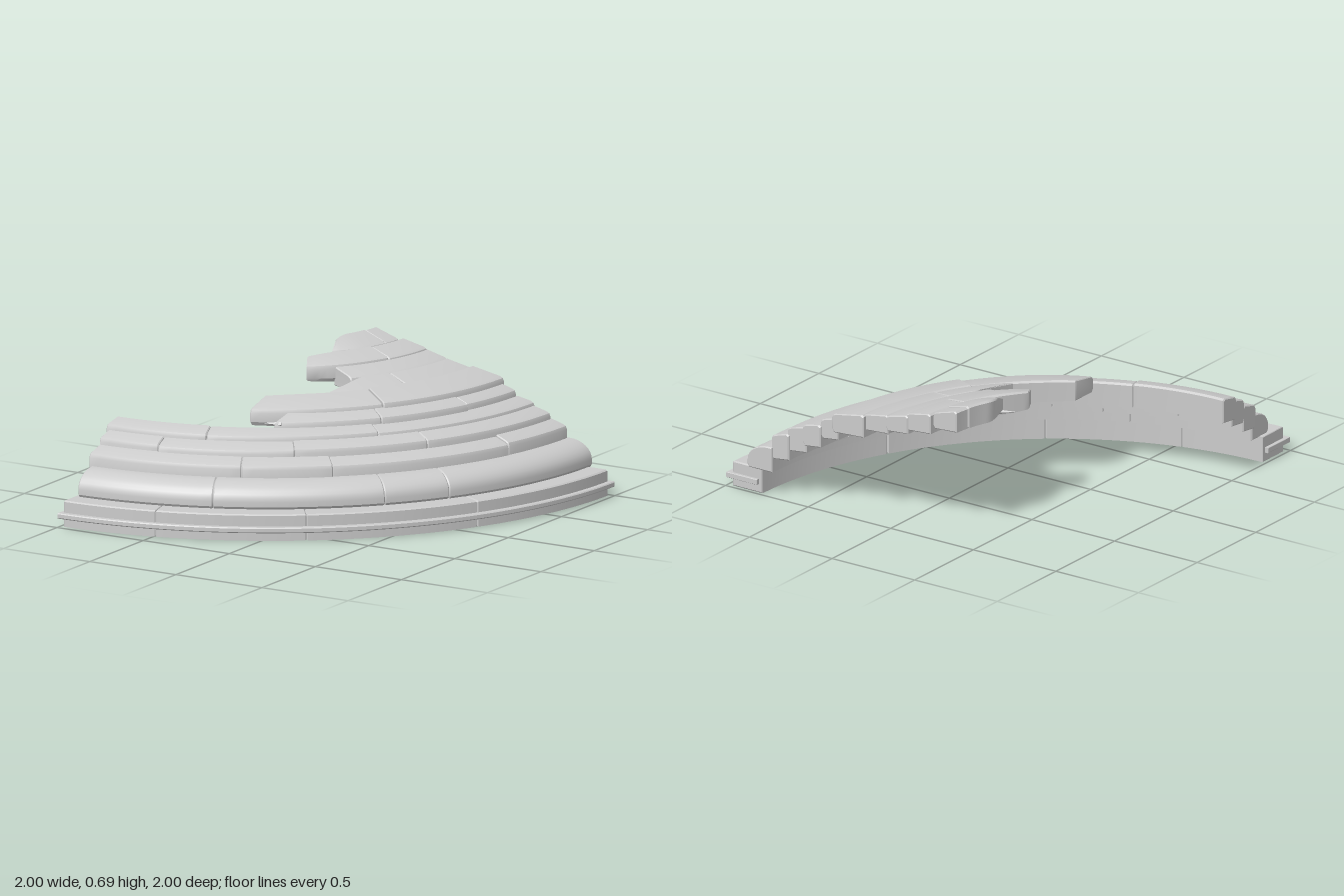
import * as THREE from 'three';
import { toCreasedNormals } from 'three/addons/utils/BufferGeometryUtils.js';

const stone = new THREE.MeshStandardMaterial({ color: 0xcccccc, side: THREE.DoubleSide });
const rad = THREE.MathUtils.degToRad;

let seed = 7;
function jitter(amount) {
  seed = (seed * 16807) % 2147483647;
  return (seed / 2147483647 - 0.5) * 2 * amount;
}

// Sweep a [radius, height] profile round the dome axis at (-1, -1), with chamfered ends.
// skew tilts a broken end; taper narrows it.
function arcBlock(name, profile, fromDeg, toDeg, { skew = 0, taper = 0, chamfer = 0.006 } = {}) {
  const steps = Math.max(4, Math.ceil((toDeg - fromDeg) / 2) + 2);
  const geo = new THREE.ExtrudeGeometry(
    new THREE.Shape(profile.map(([r, y]) => new THREE.Vector2(r, y))),
    { depth: 1, steps, bevelEnabled: false });
  const rs = profile.map(p => p[0]), ys = profile.map(p => p[1]);
  const r0 = Math.min(...rs), r1 = Math.max(...rs), rm = (r0 + r1) / 2;
  const y0 = Math.min(...ys), y1 = Math.max(...ys), ym = (y0 + y1) / 2;
  const a0 = rad(fromDeg), a1 = rad(toDeg), lip = chamfer / rm;
  const pos = geo.attributes.position;
  for (let i = 0; i < pos.count; i++) {
    const k = Math.round(pos.getZ(i) * steps);
    let r = pos.getX(i), y = pos.getY(i), t;
    if (k === 0) t = 0;
    else if (k === steps) t = 1;
    else t = THREE.MathUtils.lerp(lip / (a1 - a0), 1 - lip / (a1 - a0), (k - 1) / (steps - 2));
    if (k === 0 || k === steps) {
      r = rm + (r - rm) * (1 - 2 * chamfer / (r1 - r0));
      y = ym + (y - ym) * (1 - 2 * chamfer / (y1 - y0));
    }
    const worn = Math.max(0, t - 0.5) * 2;
    const a = a0 + (a1 - a0) * t + skew * (r - rm) * worn;
    r = rm + (r - rm) * (1 - taper * worn * worn);
    y = ym + (y - ym) * (1 - 0.4 * taper * worn * worn);
    pos.setXYZ(i, Math.cos(a) * r - 1, y, Math.sin(a) * r - 1);
  }
  geo.deleteAttribute('normal');
  geo.deleteAttribute('uv');
  const mesh = new THREE.Mesh(toCreasedNormals(geo, rad(28)), stone);
  mesh.name = name;
  return mesh;
}

// A run of blocks between successive joint angles; only the last takes the broken-end options.
function course(name, joints, makeProfile, end = {}) {
  const group = new THREE.Group();
  group.name = name;
  for (let i = 0; i < joints.length - 1; i++) {
    const last = i === joints.length - 2;
    group.add(arcBlock(name + 'Block' + (i + 1), makeProfile(), joints[i], joints[i + 1], last ? end : {}));
  }
  return group;
}

// Sloping block with a rounded outer top edge
function stepProfile(ro, ri, yb, yo, yi) {
  const r = ro + jitter(0.007), dy = jitter(0.006);
  return [
    [ri - 0.004, yb + 0.012], [r - 0.012, yb], [r, yb + 0.02], [r, yo - 0.025 + dy],
    [r - 0.007, yo - 0.008 + dy], [r - 0.022, yo + dy], [ri + 0.008, yi + dy], [ri - 0.004, yi - 0.008 + dy],
  ];
}

export function createModel() {
  const model = new THREE.Group();
  model.name = 'brokenDomeQuarter';

  // Base ring with its projecting band
  model.add(course('baseRing', [0.5, 27, 53, 75, 89.4], () => [
    [1.79, 0], [1.97, 0], [1.97, 0.127], [1.962, 0.133], [1.79, 0.133],
  ], { chamfer: 0.003 }));
  model.add(arcBlock('baseBand', [[1.81, 0.045], [1.995, 0.045], [2, 0.05], [2, 0.068], [1.995, 0.073], [1.81, 0.073]],
    0, 90, { chamfer: 0.002 }));

  // Rounded moulding course
  model.add(course('roundedCourse', [0, 30, 40.6, 67, 88.8], () => {
    const profile = [[1.72, 0.13], [1.86, 0.13], [1.87, 0.145]];
    for (let i = 0; i <= 8; i++) {
      const a = (i / 8) * Math.PI / 2;
      profile.push([1.74 + 0.13 * Math.cos(a), 0.17 + 0.092 * Math.sin(a)]);
    }
    profile.push([1.72, 0.262]);
    return profile;
  }));

  // Stepped courses: outer radius, inner radius, bottom, outer top, inner top, joint angles, broken end
  const steps = [
    [1.74, 1.63, 0.20, 0.325, 0.345, [0.4, 15.5, 48, 63, 89.3]],
    [1.64, 1.53, 0.26, 0.385, 0.405, [0.8, 30, 54, 78, 89.3]],
    [1.545, 1.44, 0.31, 0.43, 0.445, [0.6, 38, 70, 89.8]],
    [1.45, 1.34, 0.37, 0.475, 0.495, [1, 16, 36, 56], { skew: 0.5 }],
    [1.36, 1.175, 0.425, 0.52, 0.55, [0.4, 34, 61], { skew: 0.3, taper: 0.15 }],
    [1.195, 1.04, 0.47, 0.555, 0.58, [1.5, 24, 39], { skew: 1.4, taper: 0.1 }],
    [1.05, 0.915, 0.5, 0.585, 0.61, [1.2, 37], { skew: -0.3 }],
    [0.925, 0.78, 0.53, 0.62, 0.645, [1.6, 19, 46], { skew: 0.2, taper: 0.35 }],
    [0.79, 0.635, 0.565, 0.655, 0.69, [3.6, 11.5, 32], { skew: 0.5, taper: 0.55 }],
  ];
  steps.forEach(([ro, ri, yb, yo, yi, joints, end], i) => {
    model.add(course('stepCourse' + (i + 1), joints, () => stepProfile(ro, ri, yb, yo, yi), end));
  });

  // Loose splinters at the broken edge
  for (const [x, y, z, turn] of [[-0.38, 0.56, -0.55, 0.6], [-0.24, 0.46, 0.21, 0.25]]) {
    const shard = new THREE.Mesh(new THREE.ConeGeometry(0.014, 0.1, 4).toNonIndexed(), stone);
    shard.geometry.computeVertexNormals();
    shard.position.set(x, y, z);
    shard.rotation.set(0, turn, Math.PI / 2);
    shard.name = 'splinter';
    model.add(shard);
  }
  return model;
}
